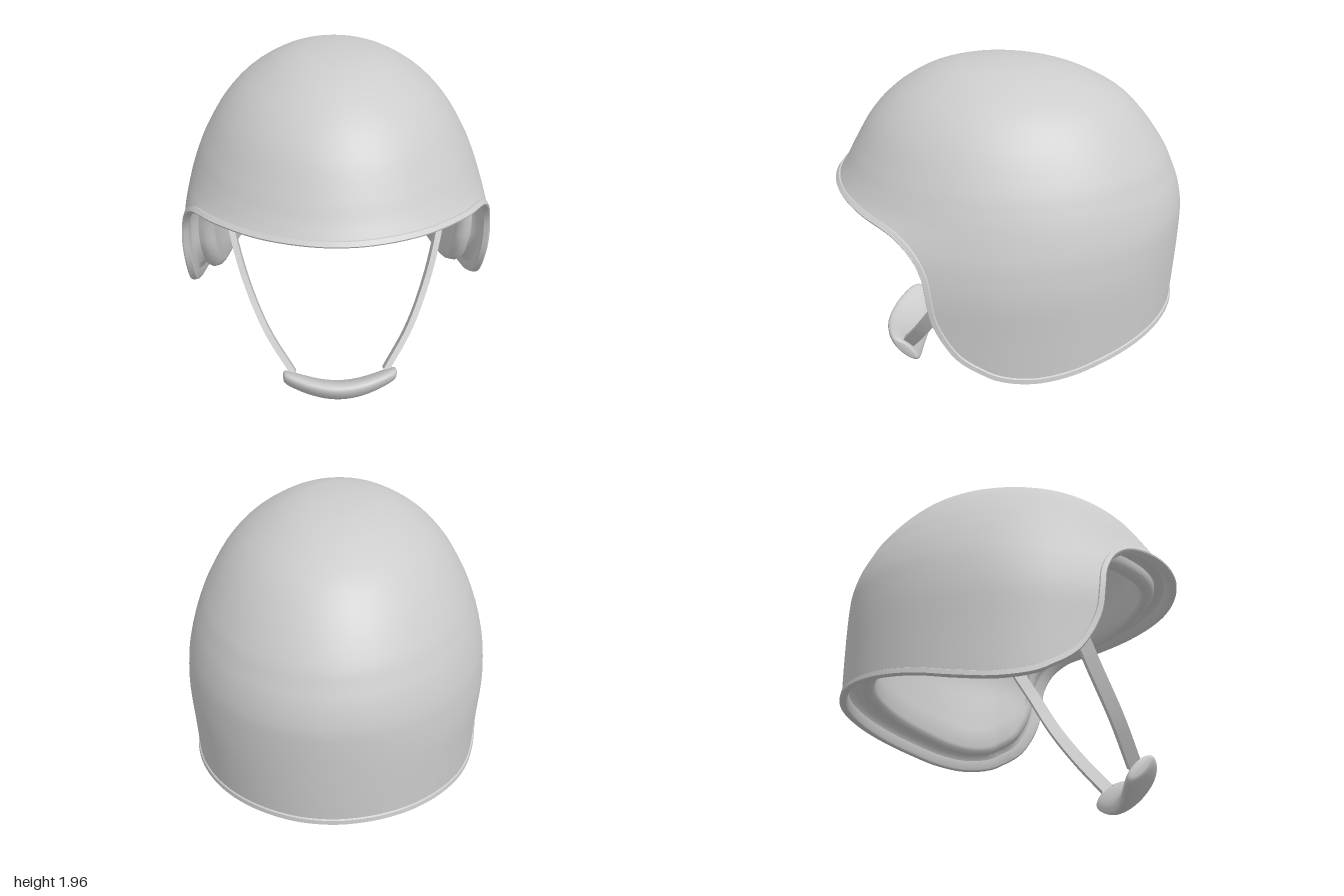
import * as THREE from 'three';
import { mergeVertices, toCreasedNormals } from 'three/addons/utils/BufferGeometryUtils.js';

const V = (x, y, z) => new THREE.Vector3(x, y, z);
const ZC = 0.05; // z of the crown

// Shell cross-sections from the crown down: height, half width, reach to front, reach to back, cheek fullness
const LEVELS = [
  [1.97, 0, 0, 0, 0], [1.963, 0.12, 0.15, 0.15, 0], [1.942, 0.235, 0.29, 0.3, 0], [1.89, 0.36, 0.44, 0.475, 0],
  [1.79, 0.51, 0.6, 0.665, 0], [1.66, 0.63, 0.73, 0.8, 0], [1.5, 0.727, 0.832, 0.918, 0], [1.4, 0.773, 0.888, 0.968, 0.02],
  [1.31, 0.807, 0.945, 1.007, 0.08], [1.2, 0.84, 1.0, 1.035, 0.33], [1.1, 0.862, 1.02, 1.042, 0.45],
  [0.93, 0.88, 1.03, 1.042, 0.5], [0.7, 0.875, 1.03, 1.037, 0.5], [0.4, 0.87, 1.03, 1.025, 0.5],
];

// Smooth interpolation of the levels, mirrored through the crown
function level(k) {
  const last = LEVELS.length - 1;
  const i = Math.min(last - 1, Math.max(0, Math.floor(k)));
  const t = k - i;
  const get = n => (n < 0 ? LEVELS[-n].map((v, c) => (c ? -v : v)) : LEVELS[Math.min(last, n)]);
  const [a, b, c, d] = [get(i - 1), get(i), get(i + 1), get(i + 2)];
  return b.map((_, n) => b[n] + 0.5 * t * (c[n] - a[n]
    + t * (2 * a[n] - 5 * b[n] + 4 * c[n] - d[n] + t * (3 * (b[n] - c[n]) + d[n] - a[n]))));
}

// Where a falling function reaches a value
function solve(fn, value, lo, hi) {
  for (let i = 0; i < 40; i++) {
    const mid = (lo + hi) / 2;
    if (fn(mid) > value) lo = mid; else hi = mid;
  }
  return lo;
}
const levelAt = y => solve(k => level(k)[0], y, 0, LEVELS.length - 1);

function surface(k, a) {
  const [y, side, front, back, cheek] = level(k);
  const c = Math.cos(a), s = Math.sin(a);
  return V(side * s, y, ZC + c * (c > 0 ? front * (1 + cheek * s * s) : back));
}

function normalAt(k, a) {
  if (k < 0.02) return V(0, 1, 0);
  const e = 0.01;
  const down = surface(k + e, a).sub(surface(k - e, a));
  const around = surface(k, a + e).sub(surface(k, a - e));
  return down.cross(around).normalize();
}

// Skin over rows of points; each row is a closed loop
function skin(rows, crease) {
  const n = rows[0].length, pos = [], index = [];
  rows.forEach(r => r.forEach(p => pos.push(p.x, p.y, p.z)));
  for (let i = 0; i < rows.length - 1; i++) {
    for (let j = 0; j < n; j++) {
      const a = i * n + j, d = i * n + (j + 1) % n;
      index.push(a, a + n, d + n, a, d + n, d);
    }
  }
  let geo = new THREE.BufferGeometry();
  geo.setAttribute('position', new THREE.Float32BufferAttribute(pos, 3));
  geo.setIndex(index);
  geo = mergeVertices(geo, 1e-5);
  if (crease) return toCreasedNormals(geo, crease);
  geo.computeVertexNormals();
  return geo;
}

// Rim line: front brow, ear cut-out, ear flap, nape (z, y on the side)
function rimLine() {
  const side = [[0.93, 1.31], [0.72, 1.288], [0.5, 1.237], [0.4, 1.16], [0.345, 1.06], [0.325, 0.95],
    [0.3, 0.8], [0.24, 0.67], [0.15, 0.56], [0, 0.475], [-0.2, 0.437], [-0.4, 0.452], [-0.6, 0.495],
    [-0.8, 0.535], [-0.93, 0.559]];
  const pts = side.map(([z, y]) => {
    const k = levelAt(y);
    return V(solve(a => surface(k, a).z, z, 0, Math.PI), y, 0);
  });
  const curve = new THREE.CatmullRomCurve3([V(0, 1.312, 0), ...pts, V(Math.PI, 0.565, 0)]);
  const half = curve.getSpacedPoints(90).map(p => ({ a: p.x, k: levelAt(p.y) }));
  const mirrored = half.slice(1, -1).reverse().map(({ a, k }) => ({ a: -a, k }));
  const rim = [...half, ...mirrored];
  rim.forEach(r => { r.p = surface(r.k, r.a); r.n = normalAt(r.k, r.a); });
  rim.forEach((r, j) => {
    const next = rim[(j + 1) % rim.length].p, prev = rim[(j + rim.length - 1) % rim.length].p;
    r.u = r.n.clone().cross(next.clone().sub(prev)).normalize(); // away from the edge, along the shell
  });
  return rim;
}

// Flat band swept along a curve
function band(curve, width, thick, steps) {
  const rows = [];
  for (let i = 0; i <= steps; i++) {
    const p = curve.getPoint(i / steps), t = curve.getTangent(i / steps);
    const w = t.clone().cross(V(1, 0, 0)).normalize();
    const h = w.clone().cross(t).normalize();
    rows.push([[1, 1], [-1, 1], [-1, -1], [1, -1]].map(([a, b]) =>
      p.clone().addScaledVector(w, a * width / 2).addScaledVector(h, b * thick / 2)));
  }
  return skin(rows, 0.7);
}

export function createModel() {
  const group = new THREE.Group();
  const material = new THREE.MeshStandardMaterial({ color: 0xcccccc, side: THREE.DoubleSide });
  const add = (name, geo) => {
    const mesh = new THREE.Mesh(geo, material);
    mesh.name = name;
    group.add(mesh);
  };
  const rim = rimLine();
  const edgeRow = ([n, u]) => rim.map(r => r.p.clone().addScaledVector(r.n, n).addScaledVector(r.u, u));

  // Outer shell
  const shellRows = [];
  for (let i = 0; i <= 44; i++) shellRows.push(rim.map(r => surface(r.k * i / 44, r.a)));
  add('shell', skin(shellRows));

  // Edge trim wrapped around the rim
  add('rimTrim', skin([[-0.002, 0.03], [0.008, 0.025], [0.012, 0], [0.004, -0.005],
    [-0.024, -0.003], [-0.03, 0.006], [-0.035, 0.06]].map(edgeRow), 0.6));

  // Padded liner: channel, rolled edge, then the inside up to the crown
  const linerRows = [[-0.035, 0.06], [-0.05, 0.09], [-0.08, 0.1], [-0.1, 0.082], [-0.125, 0.07],
    [-0.155, 0.075], [-0.172, 0.09]].map(edgeRow);
  for (let i = 32; i >= 0; i--) {
    const v = i / 32;
    linerRows.push(rim.map(r => surface(r.k * v, r.a)
      .addScaledVector(normalAt(r.k * v, r.a), -0.12 - 0.06 * v * v)
      .addScaledVector(r.u, 0.11 * v * v)));
  }
  add('liner', skin(linerRows, 0.8));

  // Chin straps
  for (const [name, s] of [['leftStrap', 1], ['rightStrap', -1]]) {
    const path = new THREE.CatmullRomCurve3([[0.665, 1.26, 0.05], [0.635, 1.1, 0.11], [0.597, 0.9, 0.22],
      [0.525, 0.65, 0.345], [0.415, 0.41, 0.485], [0.27, 0.2, 0.61]].map(([x, y, z]) => V(s * x, y, z)));
    add(name, band(path, 0.078, 0.034, 28));
  }

  // Chin cup: tilted oval sections, sagging forward and down in the middle
  const cupRows = [];
  for (let i = 0; i <= 32; i++) {
    const f = (i / 32 - 0.5) * Math.PI;
    const size = Math.pow(Math.max(0, Math.cos(f)), 0.3);
    const sag = Math.cos(Math.sin(f) * Math.PI / 2);
    const row = [];
    for (let j = 0; j < 24; j++) {
      const a = j / 24 * Math.PI * 2;
      const l = (0.145 + 0.01 * sag) * size * Math.cos(a), t = 0.055 * size * Math.sin(a);
      row.push(V(0.33 * Math.sin(f), 0.18 - 0.06 * sag + 0.7 * l - 0.7 * t, 0.62 + 0.063 * sag + 0.7 * l + 0.7 * t));
    }
    cupRows.push(row);
  }
  add('chinCup', skin(cupRows));
  return group;
}
